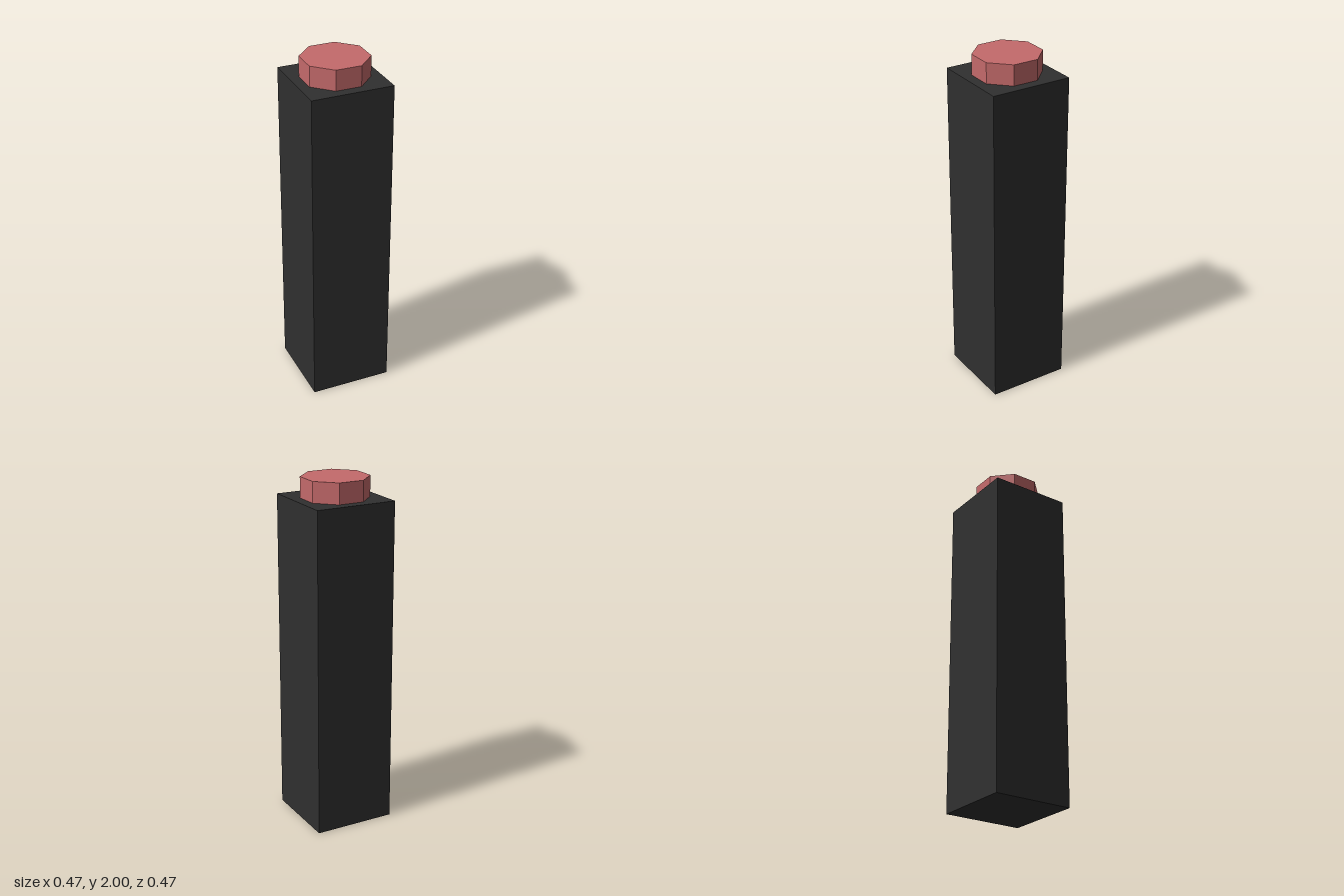
import * as THREE from 'three';

export function createModel() {
  const model = new THREE.Group();
  model.name = 'capped post';

  const charcoal = new THREE.MeshStandardMaterial({ color: 0x303030 });
  charcoal.name = 'charcoal';
  const dustyRed = new THREE.MeshStandardMaterial({ color: 0xc46a6b, flatShading: true });
  dustyRed.name = 'dusty red';

  const bodyHeight = 1.883;
  const capHeight = 2 - bodyHeight;

  // Square column
  const body = new THREE.Mesh(new THREE.BoxGeometry(0.471, bodyHeight, 0.471), charcoal);
  body.name = 'body';
  body.position.y = bodyHeight / 2;

  // Octagonal cap, with flat sides facing the column's sides
  const apothem = 0.177;
  const radius = apothem / Math.cos(Math.PI / 8);
  const cap = new THREE.Mesh(
    new THREE.CylinderGeometry(radius, radius, capHeight, 8, 1, false, Math.PI / 8),
    dustyRed
  );
  cap.name = 'cap';
  cap.position.y = bodyHeight + capHeight / 2;

  model.add(body, cap);
  return model;
}
